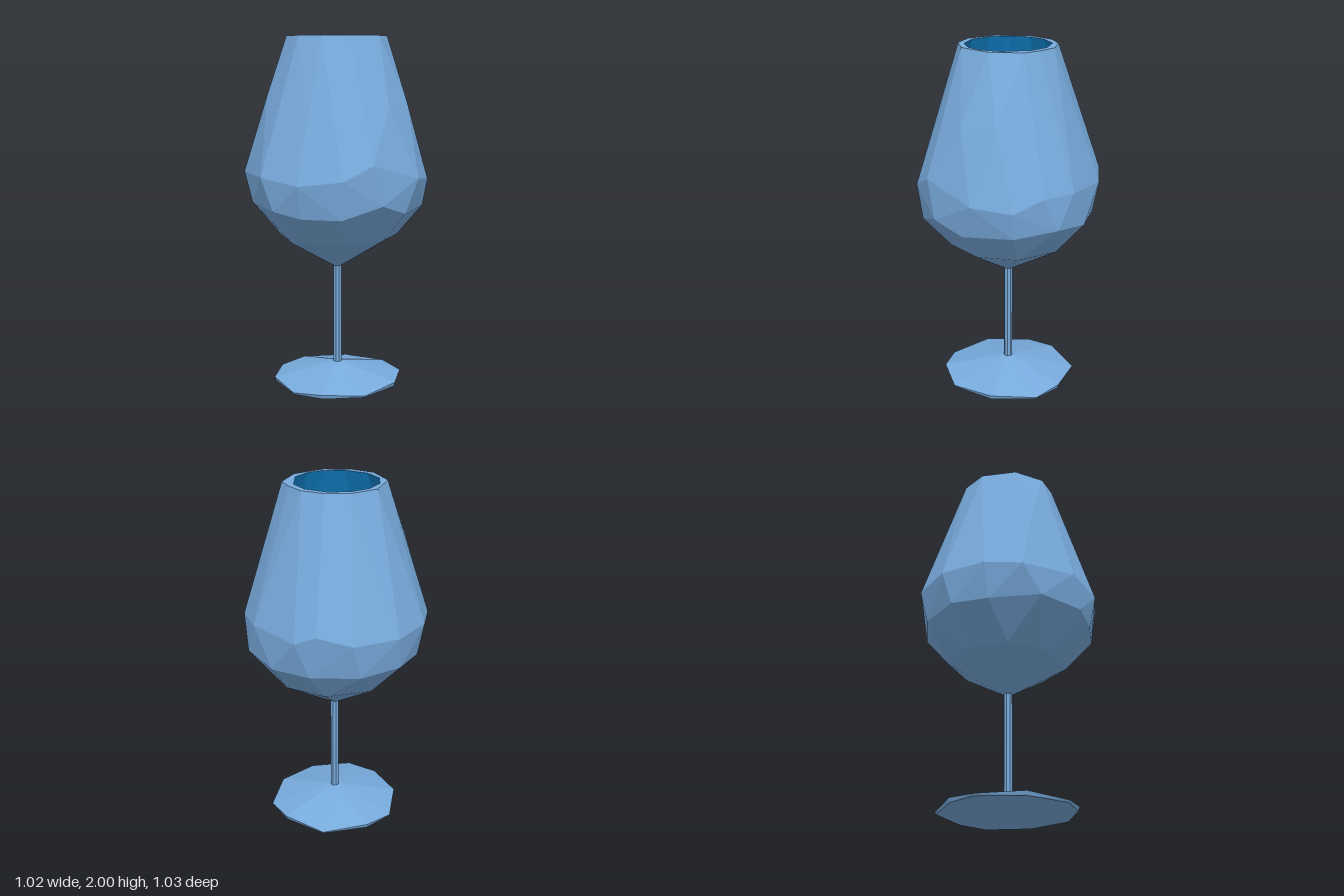
import * as THREE from 'three';
import { ConvexGeometry } from 'three/addons/geometries/ConvexGeometry.js';

const TOP = 2;

// Faceted bowl corners as [x, y, z], from the shoulder down
const upper = [[0.13, 1.62, 0.39], [0.3, 1.63, 0.28], [-0.4, 1.68, -0.055]];
const belly = [
  [-0.02, 1.32, 0.515], [0.29, 1.23, 0.44], [0.44, 1.2, 0.27], [0.5, 1.27, 0.11], [0.505, 1.27, -0.08],
  [0.375, 1.25, -0.36], [0.28, 1.3, -0.435], [0.1, 1.25, -0.515], [-0.17, 1.25, -0.505], [-0.39, 1.25, -0.36],
  [-0.5, 1.24, -0.18], [-0.515, 1.24, 0.135], [-0.39, 1.21, 0.355], [-0.185, 1.24, 0.49],
];
const lower = [
  [0.04, 1.1, 0.51], [0.21, 1.04, 0.44], [0.42, 1.05, 0.25], [0.51, 1.08, 0.02], [0.45, 1.05, -0.2],
  [0.3, 1.05, -0.38], [0.05, 1.05, -0.49], [-0.2, 1.06, -0.46], [-0.37, 1.05, -0.32], [-0.495, 1.08, -0.06],
  [-0.47, 1.06, 0.2], [-0.36, 1.03, 0.33], [-0.18, 1.03, 0.46],
];
const under = [
  [0.14, 0.87, 0.31], [0.31, 0.87, 0.15], [0.33, 0.87, -0.1], [0.17, 0.87, -0.29],
  [-0.09, 0.87, -0.32], [-0.29, 0.86, -0.16], [-0.31, 0.85, 0.08], [-0.09, 0.87, 0.33],
];

// Rim outlines as [x, z]
const rimOuter = [
  [-0.14, -0.25], [0.02, -0.28], [0.15, -0.23], [0.24, -0.135], [0.268, -0.02], [0.27, 0.085],
  [0.15, 0.225], [-0.045, 0.27], [-0.185, 0.205], [-0.27, 0.09], [-0.27, -0.095],
];
const rimInner = [
  [0, -0.243], [0.12, -0.21], [0.21, -0.105], [0.23, 0.01], [0.165, 0.16], [0.07, 0.222],
  [-0.03, 0.235], [-0.14, 0.195], [-0.23, 0.085], [-0.245, -0.04], [-0.2, -0.145], [-0.11, -0.22],
];

const ring = (count, y, radius) => Array.from({ length: count }, (_, i) => {
  const a = (i / count) * Math.PI * 2;
  return [Math.sin(a) * radius, y, Math.cos(a) * radius];
});
const atTop = (outline) => outline.map(([x, z]) => [x, TOP, z]);
const hull = (points) => new ConvexGeometry(points.map((p) => new THREE.Vector3(...p)));

// Convex facets without the cap over the mouth, optionally turned inside out
function openHull(points, inward) {
  const src = hull(points).getAttribute('position');
  const out = [];
  for (let i = 0; i < src.count; i += 3) {
    if ([0, 1, 2].every((k) => src.getY(i + k) > TOP - 0.001)) continue;
    for (const k of inward ? [0, 2, 1] : [0, 1, 2]) {
      out.push(src.getX(i + k), src.getY(i + k), src.getZ(i + k));
    }
  }
  const geometry = new THREE.BufferGeometry();
  geometry.setAttribute('position', new THREE.Float32BufferAttribute(out, 3));
  geometry.computeVertexNormals();
  return geometry;
}

export function createModel() {
  const group = new THREE.Group();
  const glass = new THREE.MeshStandardMaterial({ color: 0x78abdd });
  glass.name = 'pale blue glass';
  const lining = new THREE.MeshStandardMaterial({ color: 0x107fc6 });
  lining.name = 'deep blue lining';
  const add = (name, geometry, material) => {
    const mesh = new THREE.Mesh(geometry, material);
    mesh.name = name;
    group.add(mesh);
    return mesh;
  };

  // Bowl outside
  const body = [...upper, ...belly, ...lower, ...under];
  add('bowlOutside', openHull([...atTop(rimOuter), ...body, ...ring(6, 0.68, 0.02)], false), glass);

  // Bowl inside: a slightly smaller shell with an uneven floor
  const shrunk = body.map(([x, y, z]) => [x * 0.9, TOP - (TOP - y) * 0.93, z * 0.9]);
  const floor = [[0, 0.81, -0.12], [-0.12, 0.81, 0.05], [-0.05, 0.83, 0.11], [0.1, 0.84, -0.07]];
  add('bowlInside', openHull([...atTop(rimInner), ...shrunk, ...floor], true), lining);

  // Flat rim between the two shells
  const toShape = (outline) => outline.map(([x, z]) => new THREE.Vector2(x, -z));
  const rimShape = new THREE.Shape(toShape(rimOuter));
  rimShape.holes.push(new THREE.Path(toShape(rimInner)));
  add('rim', new THREE.ShapeGeometry(rimShape).rotateX(-Math.PI / 2).translate(0, TOP, 0), glass);

  // Stem
  const stem = new THREE.CylinderGeometry(0.025, 0.025, 0.61, 8, 1, true).toNonIndexed();
  stem.computeVertexNormals();
  add('stem', stem.translate(0, 0.385, 0), glass);

  // Foot: shallow cone with an uneven thin edge
  const radii = [0.385, 0.37, 0.39, 0.375, 0.395, 0.38, 0.39, 0.375, 0.39, 0.385];
  const foot = ring(6, 0.105, 0.02);
  radii.forEach((r, i) => {
    const a = ((i + (i % 3) * 0.12) / radii.length) * Math.PI * 2;
    const x = Math.sin(a) * r, z = Math.cos(a) * r;
    foot.push([x, 0.012 + (i % 2) * 0.012, z], [x * 0.98, 0, z * 0.98]);
  });
  add('foot', hull(foot), glass);

  return group;
}
